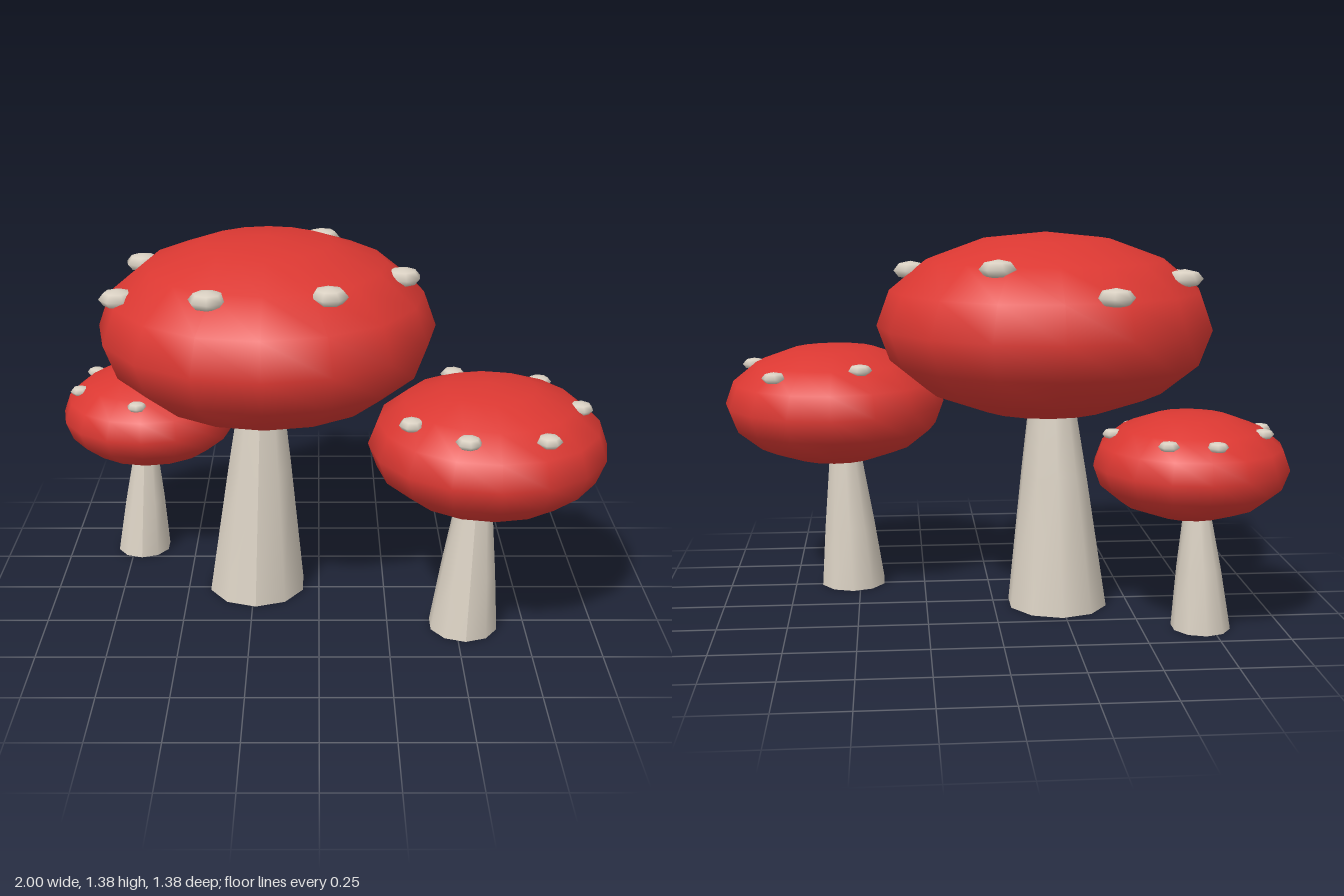
import * as THREE from 'three';

const red = new THREE.MeshStandardMaterial({ color: 0xdb3832 });
red.name = 'capRed';
const cream = new THREE.MeshStandardMaterial({ color: 0xd9d0c2 });
cream.name = 'stemCream';

// cap: centre and radii; stem: base and top centres [x, z], rings [y, radius]; spots: [x, z] on the cap
const MUSHROOMS = [
  {
    name: 'largeMushroom', cap: [-0.185, 1.05, -0.04], r: 0.605, h: 0.33,
    base: [-0.238, -0.035], top: [-0.212, -0.035], rings: [[0, 0.186], [0.5, 0.122], [0.8, 0.08]],
    spots: [[-0.36, -0.57], [0.02, -0.43], [0.31, 0.01], [0.04, 0.35], [-0.37, 0.38], [-0.71, 0.13], [-0.66, -0.25]],
  },
  {
    name: 'mediumMushroom', cap: [0.585, 0.72, 0.27], r: 0.415, h: 0.225,
    base: [0.527, 0.275], top: [0.552, 0.268], rings: [[0, 0.126], [0.23, 0.1], [0.55, 0.058]],
    spots: [[0.48, 0], [0.8, 0.01], [0.9, 0.31], [0.75, 0.57], [0.48, 0.59], [0.3, 0.44]],
  },
  {
    name: 'smallMushroom', cap: [-0.66, 0.595, -0.35], r: 0.34, h: 0.185,
    base: [-0.713, -0.345], top: [-0.688, -0.345], rings: [[0, 0.105], [0.22, 0.078], [0.45, 0.043]],
    spots: [[-0.69, -0.62], [-0.53, -0.59], [-0.89, -0.46], [-0.93, -0.28], [-0.68, -0.085], [-0.49, -0.1], [-0.38, -0.33]],
  },
];

// Tapered, slightly leaning ten-sided stem with three rings
function stemGeometry({ base, top, rings }) {
  const height = rings[2][0];
  const geo = new THREE.CylinderGeometry(1, 1, 2, 10, 2);
  const p = geo.attributes.position;
  for (let i = 0; i < p.count; i++) {
    const [y, r] = rings[Math.round(p.getY(i)) + 1];
    const t = y / height;
    p.setXYZ(i,
      THREE.MathUtils.lerp(base[0], top[0], t) + p.getX(i) * r,
      y,
      THREE.MathUtils.lerp(base[1], top[1], t) + p.getZ(i) * r);
  }
  geo.computeVertexNormals();
  return geo;
}

function buildMushroom(m) {
  const group = new THREE.Group();
  group.name = m.name;

  const stem = new THREE.Mesh(stemGeometry(m), cream);
  stem.name = 'stem';
  group.add(stem);

  const cap = new THREE.Mesh(new THREE.SphereGeometry(1, 16, 8), red);
  cap.name = 'cap';
  cap.position.set(...m.cap);
  cap.scale.set(m.r, m.h, m.r);
  group.add(cap);

  // Flattened pebbles half sunk into the cap
  const pebble = new THREE.SphereGeometry(1, 7, 4);
  const size = m.r * 0.108;
  m.spots.forEach(([x, z], i) => {
    const dx = (x - m.cap[0]) * 0.97, dz = (z - m.cap[2]) * 0.97;
    const k = Math.min(1, Math.hypot(dx, dz) / m.r);
    const spot = new THREE.Mesh(pebble, cream);
    spot.name = 'spot' + (i + 1);
    spot.position.set(m.cap[0] + dx, m.cap[1] + m.h * Math.sqrt(1 - k * k) * 0.97, m.cap[2] + dz);
    spot.scale.set(size, size * 0.5, size);
    spot.rotation.y = i * 1.3;
    group.add(spot);
  });
  return group;
}

export function createModel() {
  const model = new THREE.Group();
  model.name = 'mushroomCluster';
  MUSHROOMS.forEach((m) => model.add(buildMushroom(m)));
  return model;
}
